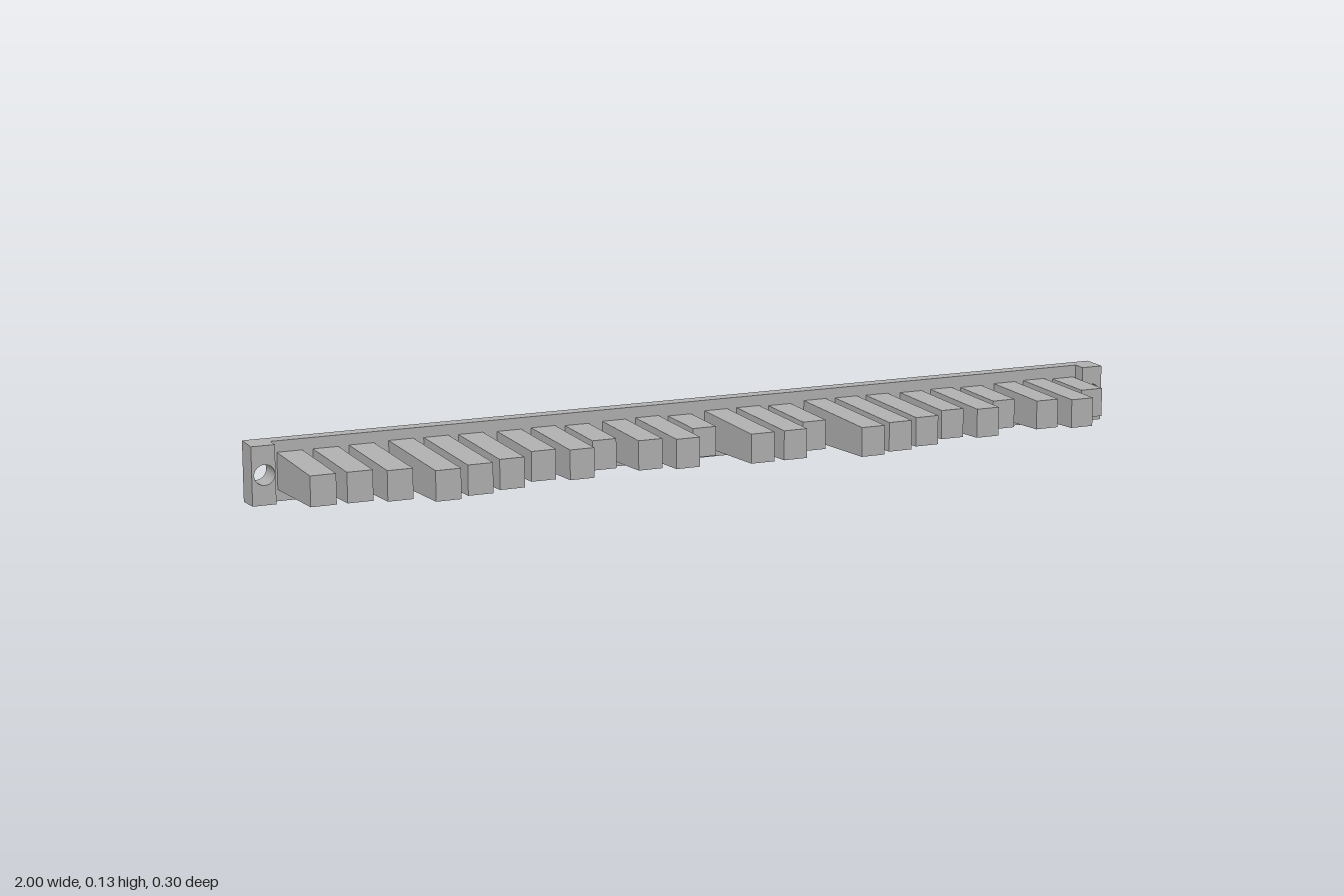
import * as THREE from 'three';

const MID = 0.0635;   // height of the centre line
const BACK = -0.149;  // rear face
const FACE = -0.12;   // front face of the bar
const DRAFT = 0.035;  // slope of top and bottom faces

const gray = new THREE.MeshStandardMaterial({ color: 0xb0b0b0 });
gray.name = 'plain gray';

// Sets top and bottom heights of a geometry from half-height as a function of z
function taper(geo, half, halfAt) {
  const p = geo.attributes.position;
  for (let i = 0; i < p.count; i++) {
    p.setY(i, MID + (p.getY(i) / half) * halfAt(p.getZ(i)));
  }
  geo.computeVertexNormals();
  return geo;
}

// Extruded rectangle with round holes, drafted along z
function drilledBar(x0, x1, z0, z1, holes) {
  const h = MID;
  const shape = new THREE.Shape();
  shape.moveTo(x0, -h).lineTo(x1, -h).lineTo(x1, h).lineTo(x0, h).closePath();
  for (const x of holes) {
    shape.holes.push(new THREE.Path().absarc(x, 0.001, 0.022, 0, Math.PI * 2, true));
  }
  const geo = new THREE.ExtrudeGeometry(shape, { depth: z1 - z0, bevelEnabled: false, curveSegments: 24 });
  geo.translate(0, 0, z0);
  return taper(geo, h, z => h - DRAFT * (z - BACK));
}

export function createModel() {
  const group = new THREE.Group();
  group.name = 'comb';
  const add = (name, geo) => {
    const mesh = new THREE.Mesh(geo, gray);
    mesh.name = name;
    group.add(mesh);
  };

  // Backing bar and the drilled mounting blocks at both ends
  add('backBar', drilledBar(-1, 1, BACK, FACE, [-0.973, 0.973]));
  add('rightEndBlock', drilledBar(-1, -0.95, FACE, -0.091, [-0.973]));
  add('leftEndBlock', drilledBar(0.95, 1, FACE, -0.091, [0.973]));

  // Teeth in groups of three, each cut to one of eight lengths
  const levels = [4, 4, 5, 7, 6, 5, 3, 4, 1, 3, 4, 0, 5, 5, 2, 7, 6, 5, 3, 4, 1, 3, 4, 0];
  levels.forEach((level, i) => {
    const x = -0.91 + Math.floor(i / 3) * 0.239 + (i % 3) * 0.0765;
    const tip = 0.003 + level * 0.0208;
    const length = tip - FACE;
    const geo = new THREE.BoxGeometry(0.054, 2, length);
    geo.translate(x, 0, FACE + length / 2);
    add('tooth' + (i + 1), taper(geo, 1, z => 0.0315 + DRAFT * (tip - z)));
  });
  return group;
}
